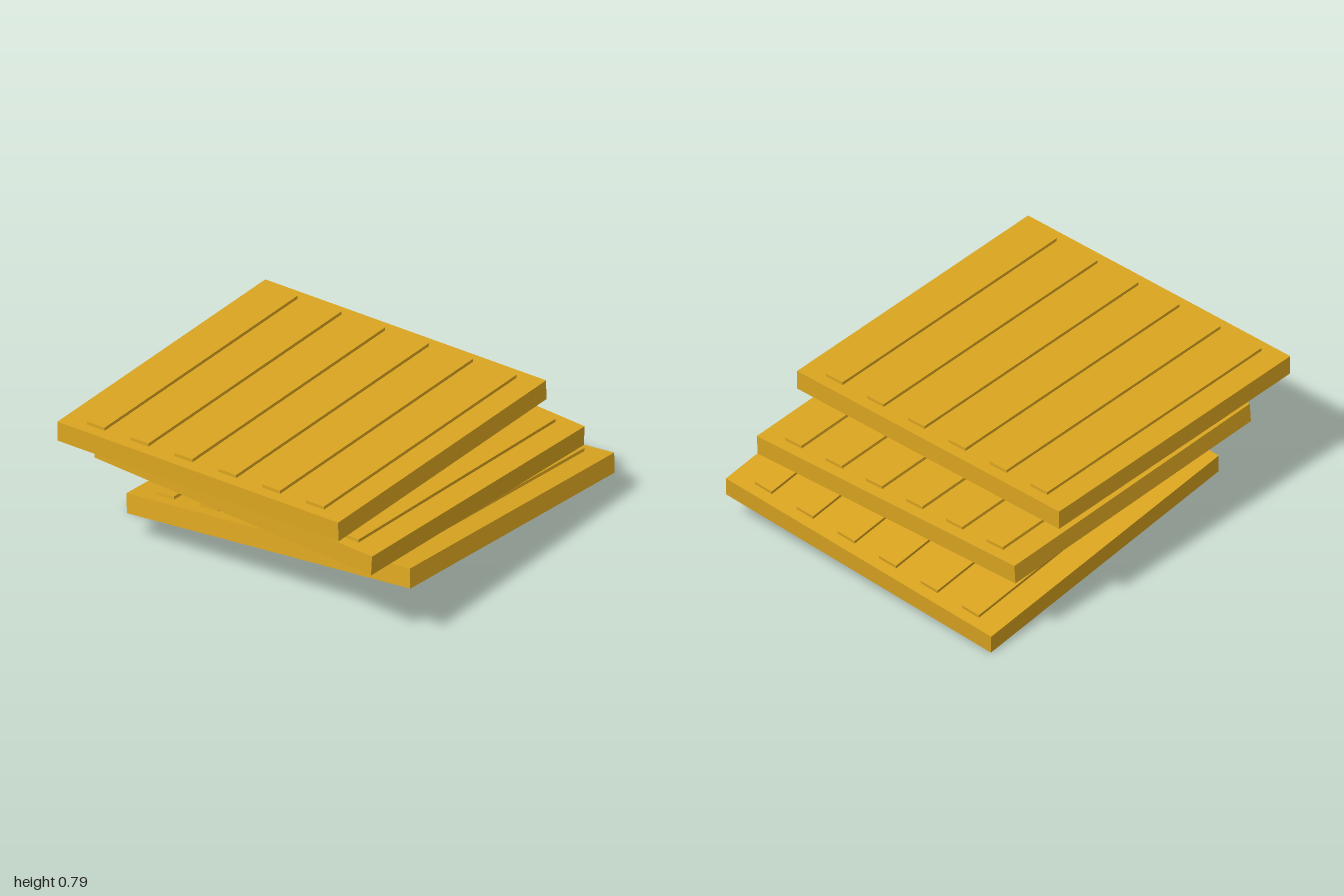
import * as THREE from 'three';

const SIZE = 1.607, THICK = 0.1;
const BAR = { width: 0.102, height: 0.016, length: 1.49, pitch: 0.251, count: 6 };

export function createModel() {
  const model = new THREE.Group();
  const yellow = new THREE.MeshStandardMaterial({ color: 0xdaa520 });
  yellow.name = 'paving yellow';

  const slabGeometry = new THREE.BoxGeometry(SIZE, THICK, SIZE);
  const barGeometry = new THREE.BoxGeometry(BAR.width, BAR.height, BAR.length);

  // One ribbed tile; its local origin is the centre of the top face
  function makeTile(name, centre, across, back) {
    const tile = new THREE.Group();
    tile.name = name;

    const slab = new THREE.Mesh(slabGeometry, yellow);
    slab.name = 'slab';
    slab.position.y = -THICK / 2;
    tile.add(slab);

    for (let i = 0; i < BAR.count; i++) {
      const bar = new THREE.Mesh(barGeometry, yellow);
      bar.name = 'raisedBar' + (i + 1);
      bar.position.set((i - (BAR.count - 1) / 2) * BAR.pitch, BAR.height / 2, 0);
      tile.add(bar);
    }

    // Tilt from the directions of the side edges
    const x = new THREE.Vector3(...across).normalize();
    const y = new THREE.Vector3(...back).negate().cross(x).normalize();
    const z = new THREE.Vector3().crossVectors(x, y);
    tile.quaternion.setFromRotationMatrix(new THREE.Matrix4().makeBasis(x, y, z));
    tile.position.set(...centre);
    model.add(tile);
  }

  // Loose stack of three tiles
  makeTile('bottomTile', [0.065, 0.263, -0.163], [1.6, 0.16, -0.087], [-0.07, -0.165, -1.6]);
  makeTile('middleTile', [-0.0175, 0.507, -0.043], [1.605, -0.037, -0.026], [-0.03, -0.075, -1.605]);
  makeTile('topTile', [-0.08, 0.75, 0.161], [1.605, 0.04, -0.057], [-0.055, -0.022, -1.605]);

  return model;
}
